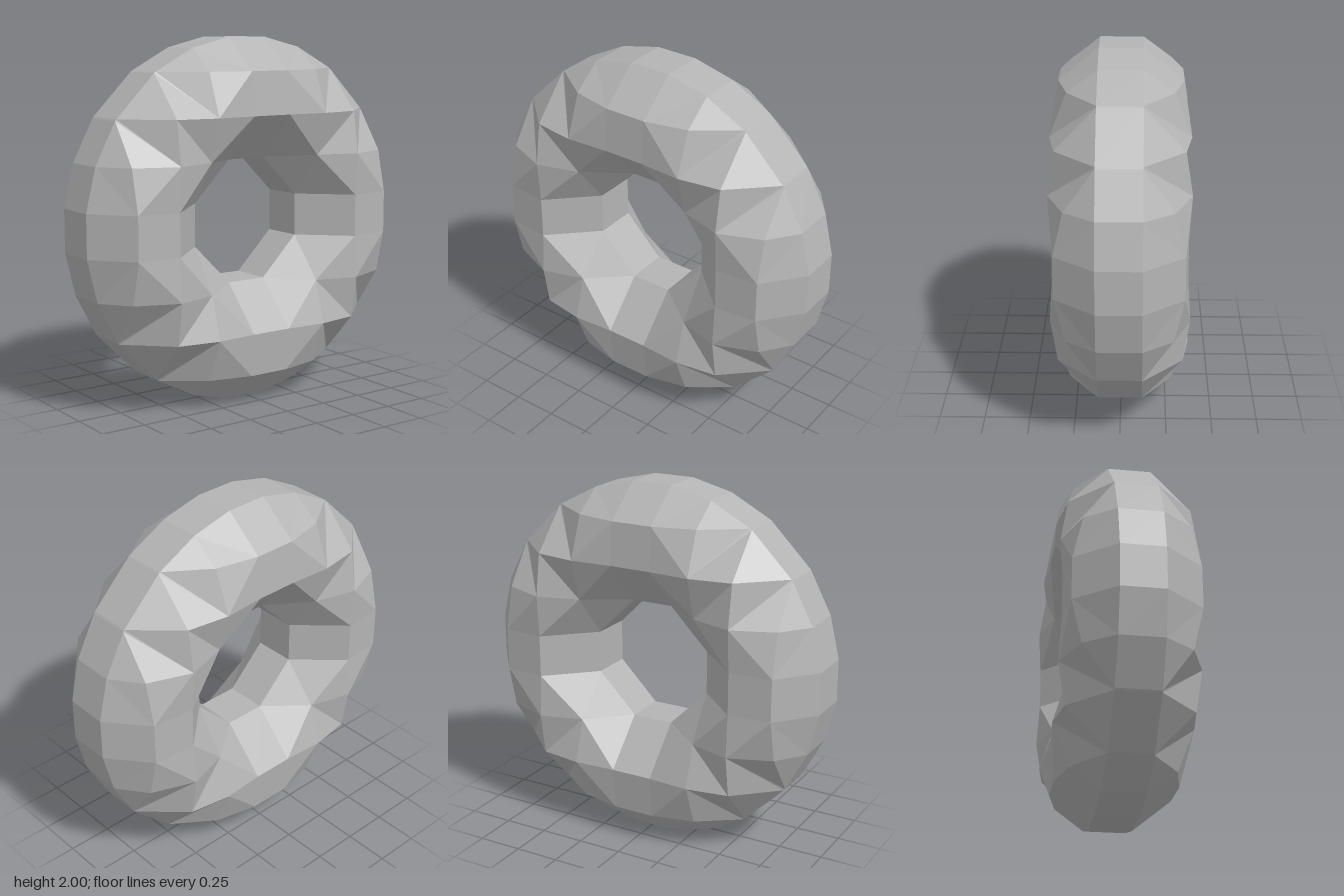
import * as THREE from 'three';

const STEP = 0.2353;            // spacing of the facet grid
const INNER = 0.36, OUTER = 1.007; // radii of the hole and the outer rim
const RIM_Z = 0.118;            // half width of the flat rim bands

// half thickness of the ring against distance from its axis
const PROFILE = [[0.36, 0.118], [0.372, 0.13], [0.499, 0.30], [0.6, 0.355],
  [0.686, 0.37], [0.832, 0.333], [0.895, 0.28], [1.007, 0.118]];

function thickness(r) {
  for (let i = 1; i < PROFILE.length; i++) {
    const [r0, z0] = PROFILE[i - 1], [r1, z1] = PROFILE[i];
    if (r <= r1) return z0 + (z1 - z0) * (r - r0) / (r1 - r0);
  }
  return RIM_Z;
}

const radius = (p) => Math.hypot(p[0], p[1]);
const inside = (p) => radius(p) > INNER && radius(p) < OUTER;

// point where a grid edge meets the inner or outer rim
function rimPoint(a, b) {
  const out = inside(a) ? b : a;
  const rim = radius(out) < INNER ? INNER : OUTER;
  const axis = Math.abs(a[0] - b[0]) > 0.01 ? 0 : 1;
  const p = [a[0], a[1], RIM_Z];
  p[axis] = Math.sign(a[axis] + b[axis]) * Math.sqrt(rim * rim - a[1 - axis] ** 2);
  p.rim = true;
  return p;
}

// part of one grid cell that lies on the ring, counter-clockwise
function cellPolygon(x, y) {
  const c = [[x, y], [x + STEP, y], [x + STEP, y + STEP], [x, y + STEP]];
  const poly = [];
  c.forEach((a, i) => {
    const b = c[(i + 1) % 4];
    if (inside(a)) poly.push([a[0], a[1], thickness(radius(a))]);
    if (inside(a) !== inside(b)) poly.push(rimPoint(a, b));
  });
  return poly;
}

function ringGeometry() {
  const pos = [];
  const tri = (a, b, c) => pos.push(...a, ...b, ...c);
  const back = (p) => [p[0], p[1], -p[2]];

  for (let i = -5; i < 5; i++) for (let j = -5; j < 5; j++) {
    const poly = cellPolygon((i - 0.5) * STEP, (j - 0.5) * STEP);
    const n = poly.length;
    if (n < 3) continue;
    // split along the higher diagonal, except for the valleys at the four corners
    let start = 0;
    if (n === 4) {
      const rise = poly[0][2] + poly[2][2] - poly[1][2] - poly[3][2];
      const cx = Math.abs(i * STEP), cy = Math.abs(j * STEP);
      const corner = Math.abs(cx - cy) < 0.01;
      start = (rise >= 0) !== corner ? 0 : 1;
    } else {
      poly.forEach((p, k) => { if (p[2] > poly[start][2]) start = k; });
    }
    const at = (k) => poly[(start + k) % n];
    // front and mirrored back faces
    for (let k = 1; k < n - 1; k++) {
      tri(at(0), at(k), at(k + 1));
      tri(back(at(0)), back(at(k + 1)), back(at(k)));
    }
    // rim bands joining front to back
    for (let k = 0; k < n; k++) {
      const a = at(k), b = at(k + 1);
      if (!a.rim || !b.rim) continue;
      tri(a, back(a), back(b));
      tri(a, back(b), b);
    }
  }
  const g = new THREE.BufferGeometry();
  g.setAttribute('position', new THREE.Float32BufferAttribute(pos, 3));
  g.computeVertexNormals(); // unshared corners keep the facets flat
  return g;
}

export function createModel() {
  const group = new THREE.Group();
  group.name = 'facetedRing';
  const grey = new THREE.MeshStandardMaterial({ color: 0xb4b4b4 });
  grey.name = 'grey';
  const ring = new THREE.Mesh(ringGeometry(), grey);
  ring.name = 'ring';
  ring.position.y = 1;
  group.add(ring);
  return group;
}
